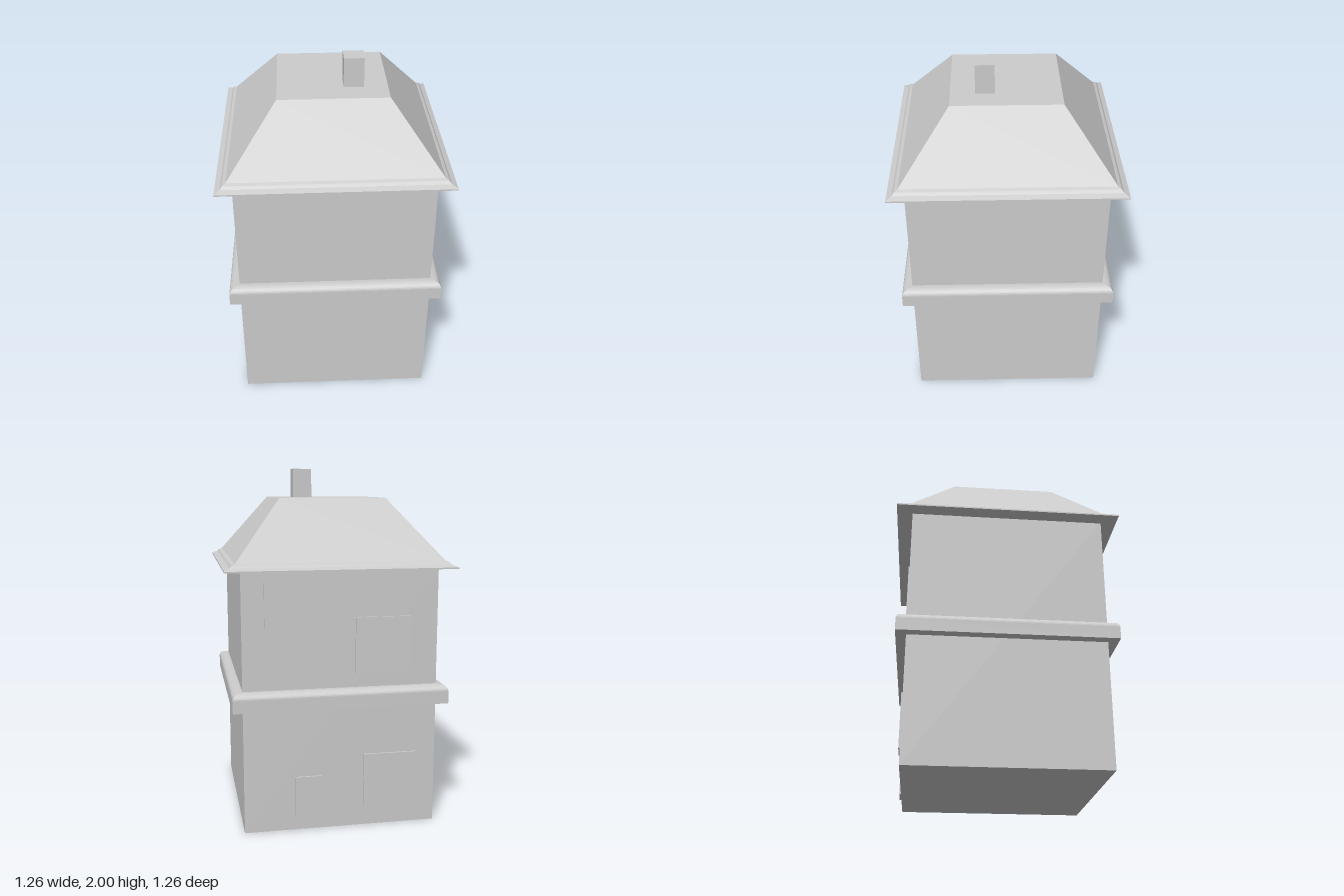
import * as THREE from 'three';

const material = new THREE.MeshStandardMaterial({ color: 0xcccccc, flatShading: true });

function addMesh(group, name, geometry) {
  const mesh = new THREE.Mesh(geometry, material);
  mesh.name = name;
  group.add(mesh);
  return mesh;
}

// Sweeps a profile of [half width, height] points round a square plan.
function squareSweep(profile) {
  const points = profile.map(([half, y]) => new THREE.Vector2(half * Math.SQRT2, y));
  return new THREE.LatheGeometry(points, 4, Math.PI / 4);
}

// Box given by its x, y and z ranges.
function addBox(group, name, [x0, x1], [y0, y1], [z0, z1]) {
  const mesh = addMesh(group, name, new THREE.BoxGeometry(x1 - x0, y1 - y0, z1 - z0));
  mesh.position.set((x0 + x1) / 2, (y0 + y1) / 2, (z0 + z1) / 2);
}

export function createModel() {
  const house = new THREE.Group();
  house.name = 'house';
  const wall = 0.543;

  // Two-storey walls
  addBox(house, 'walls', [-wall, wall], [0, 1.465], [-wall, wall]);

  // Band between the storeys, with a rounded upper edge
  const band = [[wall - 0.02, 0.705], [0.6, 0.705]];
  const steps = 8;
  for (let i = 0; i <= steps; i++) {
    const a = (i / steps) * Math.PI / 2;
    band.push([0.555 + 0.045 * Math.cos(a), 0.775 + 0.035 * Math.sin(a)]);
  }
  band.push([wall - 0.02, 0.81]);
  addMesh(house, 'storeyBand', squareSweep(band));

  // Hipped roof with a stepped eave and a flat top
  addMesh(house, 'roof', squareSweep([
    [0, 1.46], [0.63, 1.46], [0.63, 1.468], [0.6, 1.48],
    [0.588, 1.494], [0.57, 1.502], [0.3, 1.835], [0, 1.835],
  ]));

  // Chimney
  addBox(house, 'chimney', [0.06, 0.17], [1.8, 2], [0.06, 0.165]);

  // Thin door and window panels on the back wall
  const panels = [
    ['door', [0.11, 0.26], [0.01, 0.31]],
    ['lowerWindow', [-0.44, -0.13], [0.115, 0.42]],
    ['upperWindow', [-0.39, -0.08], [0.89, 1.2]],
    ['topWindow', [0.11, 0.42], [1.155, 1.46]],
  ];
  for (const [name, x, y] of panels) addBox(house, name, x, y, [-0.554, -0.53]);

  return house;
}
